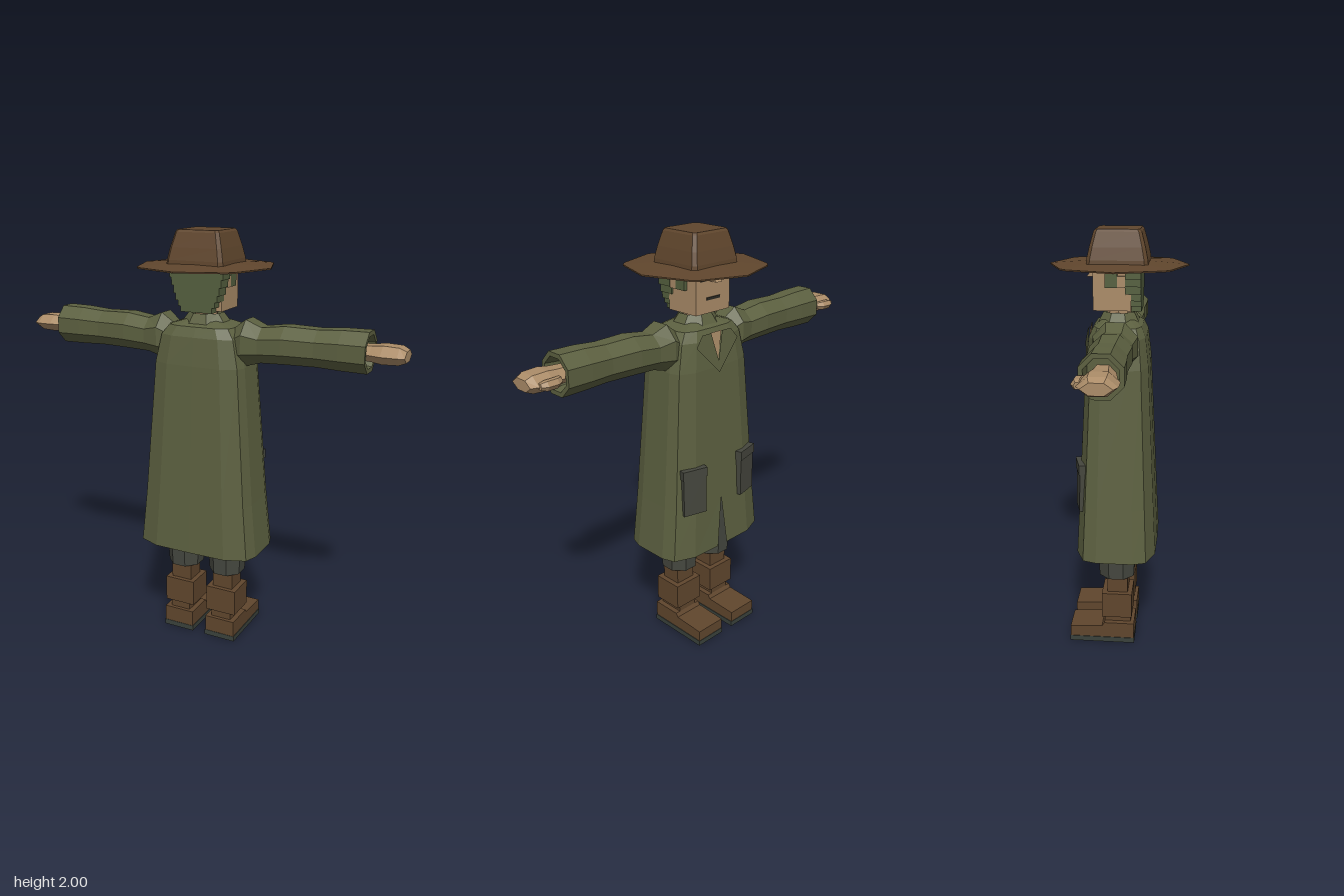
import * as THREE from 'three';

const mat = (name, color, side = THREE.FrontSide) => {
  const m = new THREE.MeshStandardMaterial({ color, side, flatShading: true });
  m.name = name;
  return m;
};

// Faceted skin over a list of equal-length rings, counterclockwise about the lofting direction
function loft(rings, { closed = true, start = false, end = false } = {}) {
  const pos = [];
  const tri = (a, b, c) => pos.push(...a, ...b, ...c);
  const n = rings[0].length;
  for (let r = 0; r + 1 < rings.length; r++) {
    const a = rings[r], b = rings[r + 1];
    for (let i = 0; i < (closed ? n : n - 1); i++) {
      const j = (i + 1) % n;
      tri(a[i], a[j], b[j]);
      tri(a[i], b[j], b[i]);
    }
  }
  const cap = (ring, flip) => {
    const c = [0, 1, 2].map(k => ring.reduce((s, p) => s + p[k], 0) / n);
    ring.forEach((p, i) => {
      const q = ring[(i + 1) % n];
      flip ? tri(c, q, p) : tri(c, p, q);
    });
  };
  if (start) cap(rings[0], true);
  if (end) cap(rings[rings.length - 1], false);
  const g = new THREE.BufferGeometry();
  g.setAttribute('position', new THREE.Float32BufferAttribute(pos, 3));
  g.computeVertexNormals();
  return g;
}

const polygon = n => Array.from({ length: n }, (_, i) => {
  const t = (i + 0.5) * 2 * Math.PI / n, k = 1 / Math.cos(Math.PI / n);
  return [Math.sin(t) * k, Math.cos(t) * k];
});
const OCT = polygon(8);
const LENS = [[0, 1], [1, 0.45], [1, -0.45], [0, -1], [-1, -0.45], [-1, 0.45]];

// Upright ring of [x, z] points, and sideways ring of [y, z] points for the side s
const upRing = (pts, y, w, d = w, cx = 0, cz = 0) => pts.map(([x, z]) => [cx + x * w, y, cz + z * d]);
function sideRing(pts, s, x, y, ry, rz, cz = 0) {
  const ring = pts.map(([a, b]) => [s * x, y + a * ry, cz + b * rz]);
  // the loops run z-to-y, so the -x side keeps them and the +x side turns them round
  const area = ring.reduce((t, p, i) => {
    const q = ring[(i + 1) % ring.length];
    return t + p[1] * q[2] - q[1] * p[2];
  }, 0);
  return area * s < 0 ? ring.reverse() : ring;
}

// Profile of [forward, y] points extruded across x; forward is -z
function sideProfile(points, width, cx) {
  const shape = new THREE.Shape(points.map(p => new THREE.Vector2(...p)));
  return new THREE.ExtrudeGeometry(shape, { depth: width, bevelEnabled: false })
    .rotateY(Math.PI / 2).translate(cx - width / 2, 0, 0);
}

export function createModel() {
  const model = new THREE.Group();
  const coat = mat('coat green', 0x5c6040, THREE.DoubleSide);
  const hairMat = mat('hair green', 0x55603f);
  const brown = mat('leather brown', 0x60462d);
  const skin = mat('skin', 0xab8c68, THREE.DoubleSide);
  const trouser = mat('trouser grey', 0x464840);
  const pocketMat = mat('pocket grey', 0x45463d);
  const sole = mat('sole grey', 0x3a413b);
  const dark = mat('dark features', 0x2c2a24);

  const add = (name, geometry, material, parent = model) => {
    const m = new THREE.Mesh(geometry, material);
    m.name = name;
    parent.add(m);
    return m;
  };
  // Box given by its limits
  const box = (name, material, x0, x1, y0, y1, z0, z1, parent) => add(name,
    new THREE.BoxGeometry(x1 - x0, y1 - y0, z1 - z0)
      .translate((x0 + x1) / 2, (y0 + y1) / 2, (z0 + z1) / 2), material, parent);

  // Coat body, slit at the lower front
  const half = [[-0.6, -0.985], [-0.93, -0.78], [-1, -0.45], [-1, 0.45], [-0.93, 0.78], [-0.6, 0.985]];
  const coatRing = (y, w, d, slit) => [
    [-slit, y, -d], ...upRing(half, y, w, d), [0, y, d],
    ...upRing(half, y, w, d).reverse().map(([x, h, z]) => [-x, h, z]), [slit, y, -d]];
  add('coat', loft([
    coatRing(0.49, 0.305, 0.19, 0.03), coatRing(0.75, 0.278, 0.177, 0),
    coatRing(1.4, 0.225, 0.145, 0), coatRing(1.53, 0.195, 0.13, 0),
    coatRing(1.575, 0.16, 0.11, 0), coatRing(1.6, 0.08, 0.07, 0)], { closed: false }), coat);

  // Collar and neck
  add('collar', loft([upRing(OCT, 1.56, 0.135, 0.105), upRing(OCT, 1.59, 0.105, 0.09),
    upRing(OCT, 1.63, 0.075, 0.07), upRing(OCT, 1.61, 0.06, 0.058)]), coat);
  add('neck', new THREE.CylinderGeometry(0.055, 0.055, 0.12, 8).translate(0, 1.61, 0), skin);

  // Open neckline and lapels laid on the chest
  const chestPlate = (name, pts, lift, material) => {
    const g = new THREE.ShapeGeometry(new THREE.Shape(pts.map(p => new THREE.Vector2(...p))));
    const p = g.attributes.position;
    for (let i = 0; i < p.count; i++) p.setZ(i, -0.145 + (p.getY(i) - 1.4) * 0.115 - lift);
    g.computeVertexNormals();
    add(name, g, material);
  };
  chestPlate('neckline', [[-0.035, 1.56], [0, 1.43], [0.035, 1.56]], 0.004, skin);
  for (const s of [-1, 1]) {
    chestPlate('lapel', [[0, 1.375], [s * 0.13, 1.51], [s * 0.09, 1.56], [s * 0.035, 1.56], [0, 1.43]], 0.009, coat);
  }

  // Head, stepped hair and face
  box('head', skin, -0.105, 0.105, 1.645, 1.845, -0.11, 0.06);
  const steps = [[1.79, 1.845, 0.133], [1.755, 1.79, 0.125], [1.72, 1.755, 0.115],
    [1.69, 1.72, 0.105], [1.665, 1.69, 0.092], [1.64, 1.665, 0.078]];
  steps.forEach(([y0, y1, w], i) => box('hair', hairMat, -w, w, y0, y1, i < 4 ? 0.035 : 0.05, 0.106));
  for (const s of [-1, 1]) {
    const x = s * 0.11;
    box('sideHair', hairMat, x - 0.012, x + 0.012, 1.75, 1.845, -0.055, 0);
    box('ear', skin, x - 0.012, x + 0.012, 1.75, 1.8, 0, 0.035);
    box('eye', dark, s * 0.05 - 0.027, s * 0.05 + 0.027, 1.79, 1.815, -0.114, -0.108);
  }
  add('nose', sideProfile([[0.105, 1.785], [0.147, 1.785], [0.11, 1.835]], 0.036, 0), skin);
  box('mouth', dark, -0.04, 0.04, 1.704, 1.716, -0.114, -0.108);

  // Hat: thin eight-cornered brim and tapered square crown
  const brim = [];
  for (let q = 0; q < 4; q++) {
    const c = Math.round(Math.cos(q * Math.PI / 2)), n = Math.round(Math.sin(q * Math.PI / 2));
    for (const [x, z] of [[0, 1], [0.67, 0.76], [0.76, 0.67]]) brim.push([x * c + z * n, z * c - x * n]);
  }
  add('hatBrim', loft([upRing(brim, 1.836, 0.315), upRing(brim, 1.842, 0.315), upRing(brim, 1.855, 0.14)],
    { start: true, end: true }), brown);
  const square = [[-0.88, 1], [0.88, 1], [1, 0.88], [1, -0.88], [0.88, -1], [-0.88, -1], [-1, -0.88], [-1, 0.88]];
  add('hatCrown', loft([[1.845, 0.14], [1.87, 0.138], [1.925, 0.126], [1.99, 0.108], [2, 0.1]]
    .map(([y, w]) => upRing(square, y, w, w * 0.98)), { end: true }), brown);

  for (const s of [-1, 1]) {
    // Sleeve with a turned-in cuff, and hand with thumb
    const arm = new THREE.Group();
    arm.name = s > 0 ? 'leftArm' : 'rightArm';
    model.add(arm);
    add('sleeve', loft([[0.16, 1.49, 0.085, 0.08], [0.215, 1.51, 0.106, 0.1], [0.29, 1.505, 0.08, 0.085],
      [0.4, 1.515, 0.085, 0.09], [0.55, 1.515, 0.082, 0.082], [0.66, 1.517, 0.088, 0.088],
      [0.78, 1.517, 0.09, 0.088], [0.78, 1.517, 0.07, 0.07], [0.7, 1.517, 0.062, 0.062]]
      .map(a => sideRing(OCT, s, ...a)), { end: true }), coat, arm);
    add('hand', loft([[0.69, 1.515, 0.03, 0.05], [0.79, 1.515, 0.034, 0.065], [0.84, 1.515, 0.04, 0.08],
      [0.91, 1.515, 0.037, 0.078], [0.94, 1.513, 0.024, 0.062]]
      .map(a => sideRing(LENS, s, ...a)), { start: true, end: true }), skin, arm);
    add('thumb', loft([[0.8, 1.515, 0.015, 0.02, -0.06], [0.83, 1.515, 0.02, 0.024, -0.076],
      [0.88, 1.515, 0.02, 0.024, -0.078], [0.905, 1.515, 0.013, 0.015, -0.073]]
      .map(a => sideRing(LENS, s, ...a)), { start: true, end: true }), skin, arm);

    // Coat pocket with flap
    const pocket = new THREE.Group();
    pocket.name = 'pocket';
    box('pouch', pocketMat, -0.06, 0.06, -0.115, 0.08, -0.022, 0.022, pocket);
    box('flap', pocketMat, -0.064, 0.064, 0.07, 0.115, -0.027, 0.024, pocket);
    pocket.position.set(s * 0.17, 0.835, -0.158);
    pocket.rotation.set(0.02, -s * 0.25, 0);
    model.add(pocket);

    // Trouser leg, boot and sole
    const leg = new THREE.Group();
    leg.name = s > 0 ? 'leftLeg' : 'rightLeg';
    model.add(leg);
    const cx = s * 0.115;
    add('trouserLeg', loft([[0.35, 0.08, 0.083], [0.55, 0.093, 0.093], [1, 0.095, 0.1]]
      .map(([y, w, d]) => upRing(OCT, y, w, d, cx)), { start: true, end: true }), trouser, leg);
    const block = (name, w, y0, y1, z0, z1, m = brown) => box(name, m, cx - w, cx + w, y0, y1, z0, z1, leg);
    block('bootShaft', 0.053, 0.26, 0.37, -0.045, 0.055);
    block('bootCuff', 0.078, 0.14, 0.268, -0.07, 0.077);
    block('bootAnkle', 0.052, 0.095, 0.145, -0.058, 0.07);
    add('bootFoot', sideProfile([[-0.088, 0.025], [0.227, 0.025], [0.227, 0.08], [0.07, 0.087],
      [0.058, 0.105], [-0.088, 0.105]], 0.156, cx), brown, leg);
    block('bootSole', 0.081, 0, 0.026, -0.229, 0.09, sole);
  }
  return model;
}
